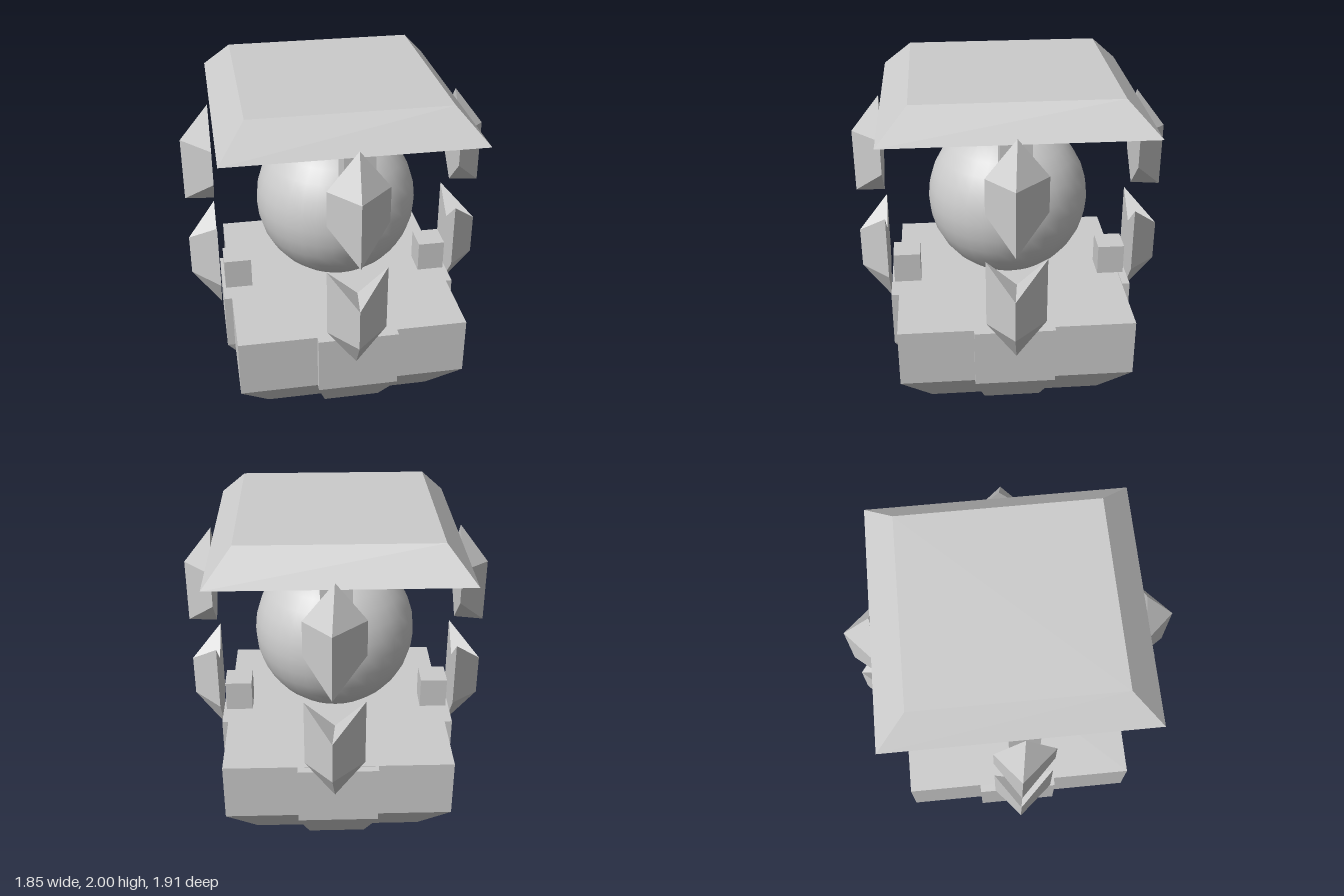
import * as THREE from 'three';

const material = new THREE.MeshStandardMaterial({ color: 0xcccccc, flatShading: true });
const smooth = new THREE.MeshStandardMaterial({ color: 0xcccccc });

// Faces are lists of corners, counter-clockwise from outside, split into fans
function facesToMesh(name, faces) {
  const positions = [];
  for (const f of faces) {
    for (let i = 1; i < f.length - 1; i++) positions.push(...f[0], ...f[i], ...f[i + 1]);
  }
  const geometry = new THREE.BufferGeometry();
  geometry.setAttribute('position', new THREE.Float32BufferAttribute(positions, 3));
  geometry.computeVertexNormals();
  const mesh = new THREE.Mesh(geometry, material);
  mesh.name = name;
  return mesh;
}

// Four-cornered rings joined from bottom to top and capped
function loft(name, rings) {
  const faces = [[...rings[0]].reverse(), rings[rings.length - 1]];
  for (let r = 0; r < rings.length - 1; r++) {
    for (let i = 0; i < 4; i++) {
      const j = (i + 1) % 4;
      faces.push([rings[r][i], rings[r][j], rings[r + 1][j], rings[r + 1][i]]);
    }
  }
  return facesToMesh(name, faces);
}

// Ring with separate heights for its outer (+z) and inner edges
const ring = (x0, x1, zIn, zOut, yOut, yIn = yOut) => [
  [x0, yOut, zOut], [x1, yOut, zOut], [x1, yIn, zIn], [x0, yIn, zIn],
];

// Ridged shard: flat inner face and a vertical ridge pointing outward
function shard(name, center, ridge, h) {
  const inner = 0.75, outer = 0.927, half = 0.178;
  const A = [center, h.midTop, inner], D = [center, h.midBottom, inner];
  const R = [ridge, h.ridgeTop, outer], S = [ridge, h.ridgeBottom, outer];
  const faces = [];
  for (const s of [1, -1]) {
    const B = [center + s * half, h.cornerTop, inner];
    const C = [center + s * half, h.cornerBottom, inner];
    const side = [[A, R, B], [R, S, C, B], [D, C, S], [A, B, C, D]];
    faces.push(...side.map((f) => (s > 0 ? f : [...f].reverse())));
  }
  return facesToMesh(name, faces);
}

function block(name, x, y0, y1) {
  const mesh = new THREE.Mesh(new THREE.BoxGeometry(0.175, y1 - y0, 0.17), material);
  mesh.position.set(x, (y0 + y1) / 2, 0.635);
  mesh.name = name;
  return mesh;
}

export function createModel() {
  const model = new THREE.Group();
  model.name = 'lantern';

  // Bevelled roof slab
  model.add(loft('roof', [
    ring(-0.735, 0.735, -0.78, 0.767, 1.82),
    ring(-0.575, 0.573, -0.6, 0.587, 2),
  ]));

  // Base block with tapered underside
  model.add(loft('base', [
    ring(-0.51, 0.52, -0.53, 0.53, 0.02),
    ring(-0.69, 0.7, -0.715, 0.715, 0.255),
    ring(-0.69, 0.7, -0.715, 0.715, 0.62),
  ]));

  // Central globe
  const globe = new THREE.Mesh(new THREE.SphereGeometry(0.497, 32, 16), smooth);
  globe.position.set(0.01, 1.19, 0.005);
  globe.name = 'globe';
  model.add(globe);

  const upper = { midTop: 1.86, cornerTop: 1.635, cornerBottom: 1.42, midBottom: 1.24, ridgeTop: 1.63, ridgeBottom: 1.235 };
  const lower = { midTop: 0.96, cornerTop: 1.12, cornerBottom: 0.7, midBottom: 0.46, ridgeTop: 0.95, ridgeBottom: 0.69 };

  // Each side carries a base panel, two mounting blocks and two shards
  const sides = [
    { name: 'frontSide', angle: 0, push: 0.025, panel: 0.025, ridge: -0.01, center: 0.008, mount: 0.018 },
    { name: 'leftSide', angle: Math.PI / 2, push: 0, panel: -0.018, ridge: -0.035, center: -0.012, mount: -0.015 },
    { name: 'backSide', angle: Math.PI, push: 0.028, panel: -0.01, ridge: -0.05, center: -0.03, mount: -0.02 },
    { name: 'rightSide', angle: -Math.PI / 2, push: 0, panel: -0.015, ridge: -0.015, center: 0.015, mount: 0.015 },
  ];
  for (const s of sides) {
    const side = new THREE.Group();
    side.name = s.name;
    const wide = [s.panel - 0.243, s.panel + 0.243];
    const narrow = [s.panel - 0.178, s.panel + 0.172];
    side.add(
      loft('basePanel', [
        ring(...narrow, 0.51, 0.54, 0, 0.02),
        ring(...wide, 0.69, 0.738, 0.255),
        ring(...wide, 0.69, 0.738, 0.62),
      ]),
      block('upperMount', s.mount, 1.62, 1.82),
      block('lowerMount', s.mount, 0.62, 0.815),
      shard('upperShard', s.center, s.ridge, upper),
      shard('lowerShard', s.center, s.ridge, lower),
    );
    side.rotation.y = s.angle;
    side.position.set(Math.sin(s.angle) * s.push, 0, Math.cos(s.angle) * s.push);
    model.add(side);
  }
  return model;
}
